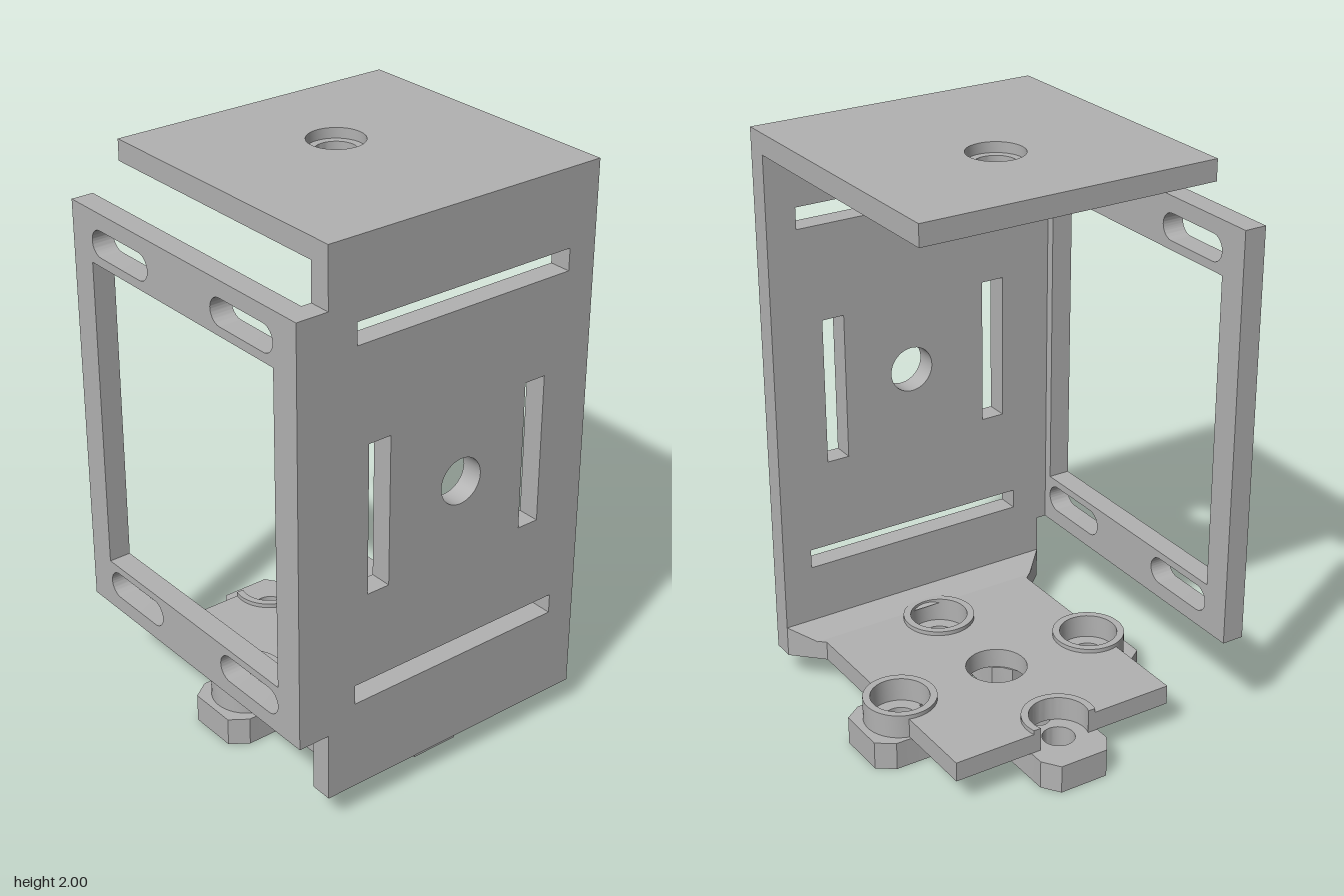
import * as THREE from 'three';
import { toCreasedNormals } from 'three/addons/utils/BufferGeometryUtils.js';
import { ConvexGeometry } from 'three/addons/geometries/ConvexGeometry.js';

const CX = -0.045, CZ = -0.06; // axis shared by the top hole and the horn
const REACH = 0.38;            // distance from the axis to each screw hole

const metal = new THREE.MeshStandardMaterial({ color: 0xb2b2b2 });
metal.name = 'grey metal';

const polygon = (pts) => new THREE.Shape(pts.map(([x, y]) => new THREE.Vector2(x, y)));
const rect = (x0, y0, x1, y1) => polygon([[x0, y0], [x1, y0], [x1, y1], [x0, y1]]);

function circle(x, y, r) {
  const s = new THREE.Shape();
  s.absarc(x, y, r, 0, Math.PI * 2);
  return s;
}

// Horizontal slot with round ends
function slot(x0, y0, x1, y1) {
  const r = (y1 - y0) / 2, y = (y0 + y1) / 2, s = new THREE.Shape();
  s.absarc(x1 - r, y, r, -Math.PI / 2, Math.PI / 2);
  s.absarc(x0 + r, y, r, Math.PI / 2, Math.PI * 1.5);
  s.closePath();
  return s;
}

function slab(name, shape, holes, depth) {
  shape.holes.push(...holes);
  const geo = new THREE.ExtrudeGeometry(shape, { depth, bevelEnabled: false, curveSegments: 24 });
  const mesh = new THREE.Mesh(toCreasedNormals(geo, 0.5), metal);
  mesh.name = name;
  return mesh;
}

// Horizontal slab: shape is drawn as (x, -z) around the shared axis
function flat(name, shape, holes, y0, y1) {
  const mesh = slab(name, shape, holes, y1 - y0);
  mesh.rotation.x = -Math.PI / 2;
  mesh.position.set(CX, y0, CZ);
  return mesh;
}

export function createModel() {
  const model = new THREE.Group();
  model.name = 'bracket';

  // Side wall, drawn as (-z, y)
  const wall = slab('sideWall',
    polygon([[-0.465, 0.1], [0.576, 0.1], [0.576, 2], [-0.465, 2],
      [-0.465, 1.797], [-0.578, 1.797], [-0.578, 0.343], [-0.465, 0.343]]),
    [rect(-0.36, 1.66, 0.47, 1.735), rect(-0.36, 0.418, 0.47, 0.487),
      rect(-0.313, 0.806, -0.23, 1.327), rect(0.31, 0.806, 0.39, 1.327),
      circle(0.055, 1.07, 0.08)], 0.077);
  wall.rotation.y = Math.PI / 2;
  wall.position.x = 0.5;
  model.add(wall);

  // Front frame with window and four mounting slots
  const slots = [];
  for (const [y0, y1] of [[0.398, 0.492], [1.648, 1.74]])
    for (const [x0, x1] of [[-0.458, -0.156], [0.167, 0.468]]) slots.push(slot(x0, y0, x1, y1));
  const frame = slab('frontFrame', rect(-0.566, 0.343, 0.5, 1.797),
    [rect(-0.464, 0.518, 0.469, 1.617), ...slots], 0.078);
  frame.position.z = 0.5;
  model.add(frame);

  // Top plate in two layers, forming a stepped hole
  const topOutline = () => rect(-0.415, -0.525, 0.545, 0.516);
  model.add(flat('topPlateLower', topOutline(), [circle(0, 0, 0.068)], 1.928, 1.965));
  model.add(flat('topPlateUpper', topOutline(), [circle(0, 0, 0.095)], 1.965, 2));

  // Bottom plate: round notches on three edges, flared where it meets the wall
  const E = 0.415, R = 0.1;
  const a = Math.acos((E - REACH) / R); // half angle of the missing arc
  const base = new THREE.Shape();
  base.moveTo(0.545, 0.516);
  base.lineTo(0.445, E);
  base.absarc(0, REACH, R, Math.PI / 2 - a, Math.PI / 2 + a, true);
  base.lineTo(-E, E);
  base.absarc(-REACH, 0, R, Math.PI - a, Math.PI + a, true);
  base.lineTo(-E, -E);
  base.absarc(0, -REACH, R, Math.PI * 1.5 - a, Math.PI * 1.5 + a, true);
  base.lineTo(0.445, -E);
  base.lineTo(0.545, -0.525);
  base.closePath();
  model.add(flat('bottomPlate', base, [circle(0, 0, 0.105), circle(REACH, 0, R)], 0.1, 0.17));

  // Sloped fillet between bottom plate and wall
  const corners = [];
  for (const [z0, z1] of [[0.465, 0.38], [-0.576, -0.5]])
    corners.push(new THREE.Vector3(0.5, 0.17, z0), new THREE.Vector3(0.5, 0.21, z0),
      new THREE.Vector3(0.42, 0.17, z1));
  const fillet = new THREE.Mesh(new ConvexGeometry(corners), metal);
  fillet.name = 'fillet';
  model.add(fillet);

  // Screw collars: three full rings and one cut off at the plate edge
  const O = 0.125;
  for (const [u, v] of [[REACH, 0], [0, REACH], [0, -REACH]])
    model.add(flat('collar', circle(u, v, O), [circle(u, v, R)], 0.1, 0.185));
  const b = Math.PI - Math.acos((E - REACH) / O);
  const cut = new THREE.Shape();
  cut.absarc(-REACH, 0, O, -b, b);
  cut.absarc(-REACH, 0, R, Math.PI - a, a - Math.PI, true);
  cut.closePath();
  model.add(flat('cutCollar', cut, [], 0.1, 0.185));

  // Cross-shaped horn with chamfered arms, screw holes and a slotted hub
  const outline = [], hub = [], screwHoles = [];
  for (let i = 0; i < 4; i++) {
    const c = Math.round(Math.cos(i * Math.PI / 2)), s = Math.round(Math.sin(i * Math.PI / 2));
    const turn = ([x, y]) => [x * c - y * s, x * s + y * c];
    outline.push(...[[0.47, -0.13], [0.53, -0.088], [0.53, 0.088], [0.47, 0.13],
      [0.175, 0.13], [0.143, 0.143]].map(turn), turn([0.13, 0.175]));
    hub.push(...[[0.092, -0.04], [0.26, -0.04], [0.288, -0.028], [0.3, 0],
      [0.288, 0.028], [0.26, 0.04], [0.092, 0.04], [0.071, 0.071]].map(turn));
    screwHoles.push(circle(...turn([REACH, 0]), 0.055));
  }
  model.add(flat('horn', polygon(outline), [polygon(hub), ...screwHoles], 0, 0.1));

  return model;
}
